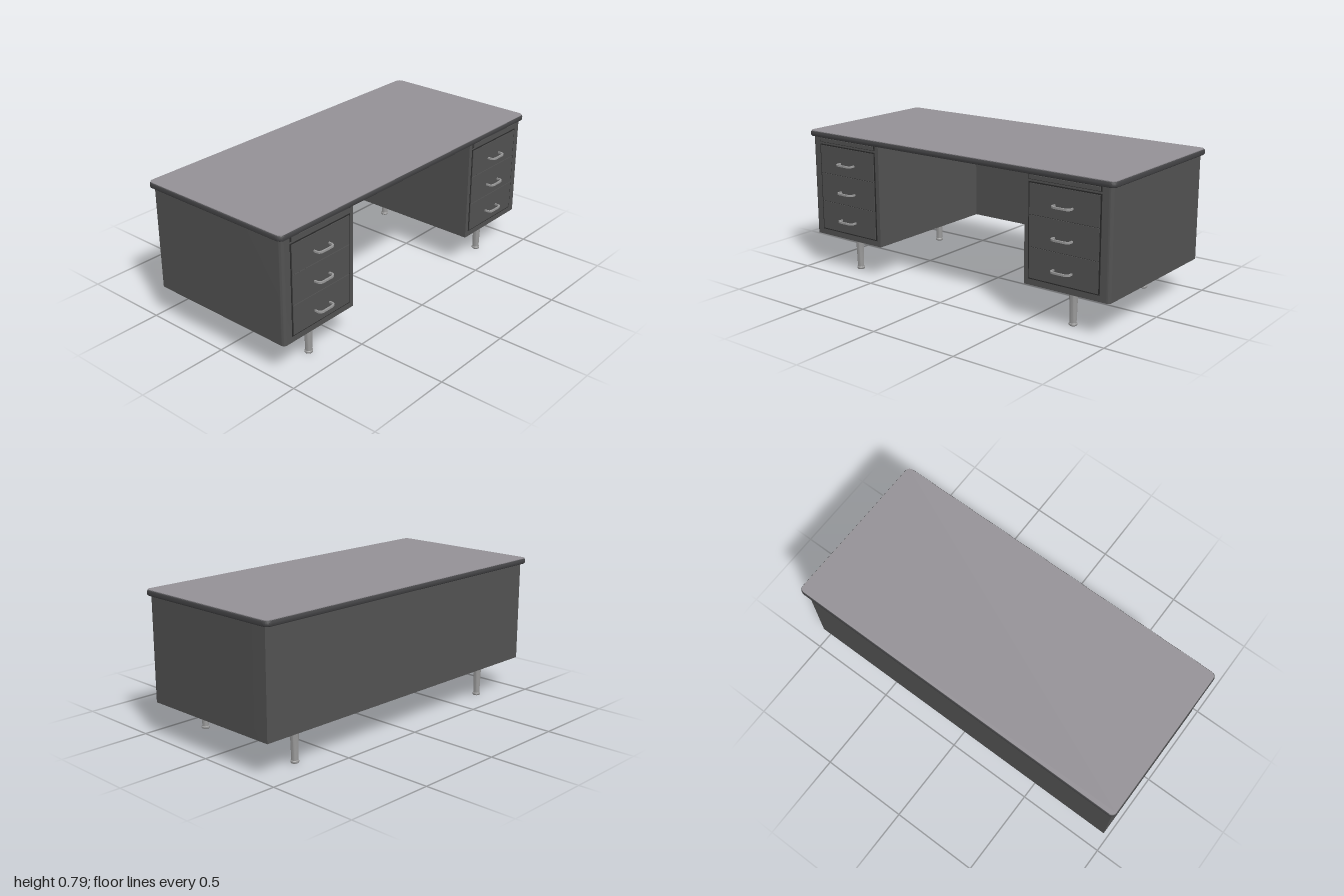
import * as THREE from 'three';
import { toCreasedNormals } from 'three/addons/utils/BufferGeometryUtils.js';

const material = (name, color) => {
  const m = new THREE.MeshStandardMaterial({ color });
  m.name = name;
  return m;
};

// Rounded rectangle in plan (shape y is -z); radii: front-left, front-right, back-right, back-left
function planShape(x0, x1, z0, z1, [fl, fr, br, bl]) {
  const s = new THREE.Shape();
  const a = -z1, b = -z0;
  s.moveTo(x0 + fl, a);
  s.lineTo(x1 - fr, a);
  if (fr) s.absarc(x1 - fr, a + fr, fr, -Math.PI / 2, 0);
  s.lineTo(x1, b - br);
  if (br) s.absarc(x1 - br, b - br, br, 0, Math.PI / 2);
  s.lineTo(x0 + bl, b);
  if (bl) s.absarc(x0 + bl, b - bl, bl, Math.PI / 2, Math.PI);
  s.lineTo(x0, a + fl);
  if (fl) s.absarc(x0 + fl, a + fl, fl, Math.PI, Math.PI * 1.5);
  return s;
}

// Plan outline raised from y0 to y1, with an optional rounded edge
function raise(shape, y0, y1, bevel = 0) {
  const g = new THREE.ExtrudeGeometry(shape, {
    depth: y1 - y0 - 2 * bevel, curveSegments: 6,
    bevelEnabled: bevel > 0, bevelThickness: bevel, bevelSize: bevel, bevelSegments: 4,
  });
  g.rotateX(-Math.PI / 2).translate(0, y0 + bevel, 0);
  return toCreasedNormals(g, 0.7);
}

export function createModel() {
  const desk = new THREE.Group();
  desk.name = 'desk';
  const steel = material('dark grey steel', 0x525252);
  const edging = material('dark edging', 0x444446);
  const laminate = material('grey laminate', 0x949196);
  const metal = material('brushed metal', 0x989898);
  const gap = material('shadow gap', 0x2b2b2b);

  const add = (parent, name, geometry, mat, x = 0, y = 0, z = 0) => {
    const mesh = new THREE.Mesh(geometry, mat);
    mesh.name = name;
    mesh.position.set(x, y, z);
    parent.add(mesh);
    return mesh;
  };
  const box = (parent, name, mat, x0, x1, y0, y1, z0, z1) =>
    add(parent, name, new THREE.BoxGeometry(x1 - x0, y1 - y0, z1 - z0), mat,
      (x0 + x1) / 2, (y0 + y1) / 2, (z0 + z1) / 2);

  // Worktop: rounded edging with a laminate sheet on top
  const e = 0.01;
  add(desk, 'topEdging', raise(
    planShape(-1 + e, 1 - e, -0.473 + e, 0.443 - e, [0.022, 0.022, 0.022, 0.022]), 0.755, 0.786, e), edging);
  add(desk, 'topSurface', raise(
    planShape(-0.995, 0.995, -0.468, 0.438, [0.027, 0.027, 0.027, 0.027]), 0.782, 0.788), laminate);

  // Full-width back panel
  box(desk, 'backPanel', steel, -0.98, 0.98, 0.19, 0.757, -0.44, -0.42);

  // Handle: flat bow seen from above
  const bow = new THREE.Shape();
  bow.moveTo(-0.056, 0.002);
  bow.lineTo(-0.056, -0.022);
  bow.quadraticCurveTo(-0.054, -0.041, -0.03, -0.043);
  bow.lineTo(0.03, -0.043);
  bow.quadraticCurveTo(0.054, -0.041, 0.056, -0.022);
  bow.lineTo(0.056, 0.002);
  bow.lineTo(0.048, 0.002);
  bow.lineTo(0.048, -0.02);
  bow.quadraticCurveTo(0.046, -0.032, 0.028, -0.034);
  bow.lineTo(-0.028, -0.034);
  bow.quadraticCurveTo(-0.046, -0.032, -0.048, -0.02);
  bow.lineTo(-0.048, 0.002);
  const handleGeometry = raise(bow, -0.005, 0.005);

  // Leg: tapered with a flared glide at the foot
  const legProfile = [[0, 0], [0.019, 0], [0.022, 0.004], [0.022, 0.011], [0.018, 0.015],
    [0.0175, 0.02], [0.023, 0.184]].map(([r, y]) => new THREE.Vector2(r, y));
  const legGeometry = toCreasedNormals(new THREE.LatheGeometry(legProfile, 24), 0.6);

  for (const side of [-1, 1]) {
    const pedestal = new THREE.Group();
    pedestal.name = side > 0 ? 'leftPedestal' : 'rightPedestal';
    desk.add(pedestal);

    // Cabinet with a softened outer front corner
    const r = 0.02;
    const outline = side > 0
      ? planShape(0.485, 0.98, -0.43, 0.427, [0, r, 0, 0])
      : planShape(-0.98, -0.485, -0.43, 0.427, [r, 0, 0, 0]);
    add(pedestal, 'cabinet', raise(outline, 0.19, 0.757), steel);

    // Drawer stack on a dark gap plate
    const cx = side * 0.717, half = 0.2;
    box(pedestal, 'drawerGap', gap, cx - half - 0.008, cx + half + 0.008, 0.222, 0.718, 0.424, 0.4285);
    for (const [y0, y1, handleY] of [[0.229, 0.388, 0.297], [0.391, 0.552, 0.46], [0.555, 0.711, 0.622]]) {
      box(pedestal, 'drawerFront', steel, cx - half, cx + half, y0, y1, 0.42, 0.432);
      add(pedestal, 'drawerHandle', handleGeometry, metal, cx, handleY, 0.43);
    }

    // Pull-out writing board under the top
    box(pedestal, 'boardGap', gap, cx - half - 0.008, cx + half + 0.008, 0.728, 0.755, 0.424, 0.4285);
    box(pedestal, 'pullOutBoard', steel, cx - half, cx + half, 0.732, 0.752, 0.42, 0.435);

    // Legs on square mounting plates
    for (const z of [0.343, -0.35]) {
      const x = side * 0.725;
      add(pedestal, 'leg', legGeometry, metal, x, 0, z);
      box(pedestal, 'legPlate', edging, x - 0.048, x + 0.048, 0.184, 0.191, z - 0.047, z + 0.047);
    }
  }
  return desk;
}
